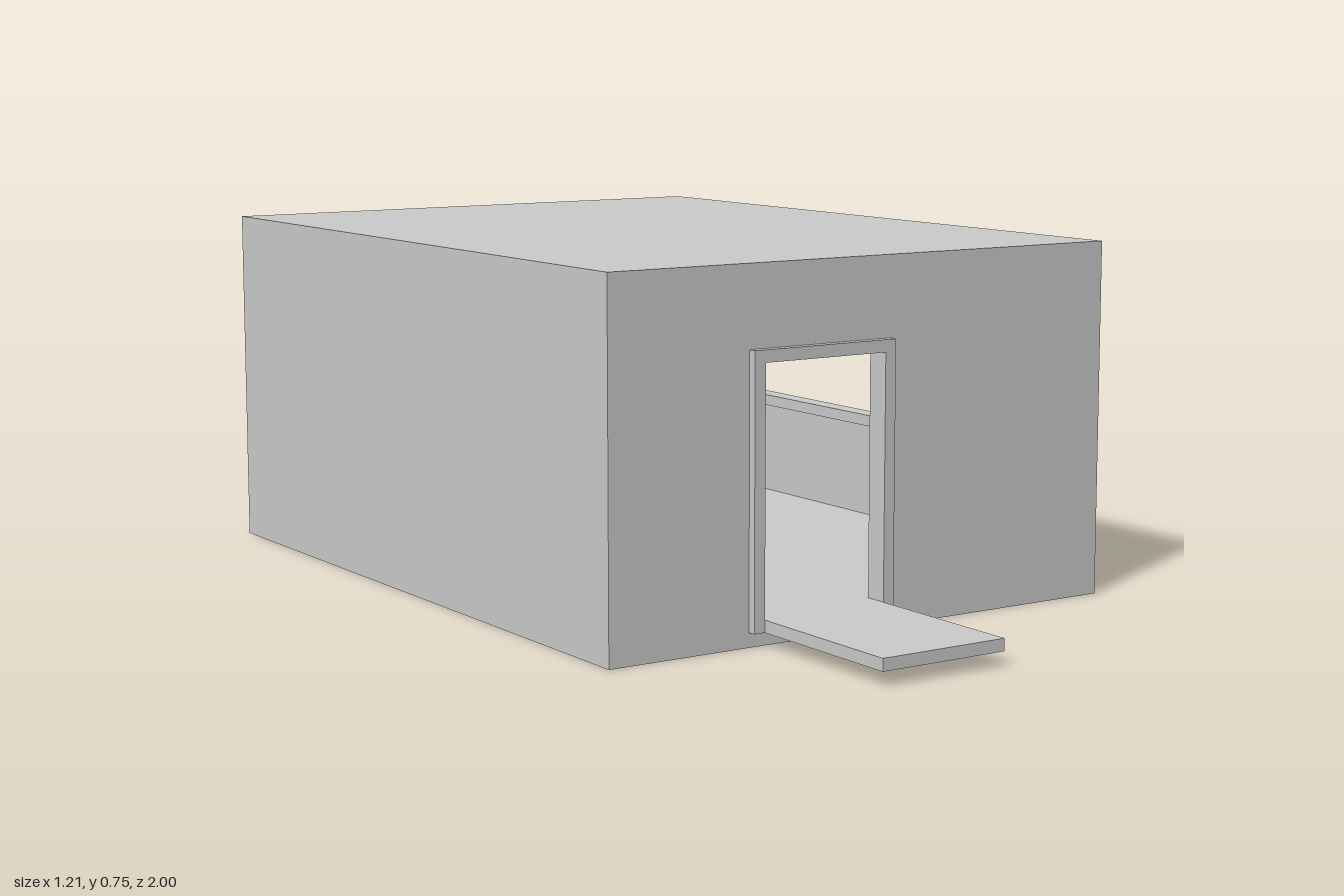
import * as THREE from 'three';

const material = new THREE.MeshStandardMaterial({ color: 0xcccccc, flatShading: true });
const X0 = -0.605, X1 = 0.6, Z0 = -0.99, Z1 = 0.61, H = 0.745;
const WALL = 0.03, FLOOR = 0.055, FRAME = 0.025;

// Box given by its minimum and maximum corners
function slab(name, [ax, ay, az], [bx, by, bz]) {
  const mesh = new THREE.Mesh(new THREE.BoxGeometry(bx - ax, by - ay, bz - az), material);
  mesh.position.set((ax + bx) / 2, (ay + by) / 2, (az + bz) / 2);
  mesh.name = name;
  return mesh;
}

function trace(path, x0, y0, x1, y1) {
  path.moveTo(x0, y0);
  path.lineTo(x1, y0);
  path.lineTo(x1, y1);
  path.lineTo(x0, y1);
  path.closePath();
  return path;
}

// Upright rectangular panel with one rectangular opening
function panel(name, outer, hole, depth) {
  const shape = trace(new THREE.Shape(), ...outer);
  shape.holes.push(trace(new THREE.Path(), ...hole));
  const mesh = new THREE.Mesh(new THREE.ExtrudeGeometry(shape, { depth, bevelEnabled: false }), material);
  mesh.name = name;
  return mesh;
}

// Frame hugging an opening
function frame(name, [x0, y0, x1, y1], depth) {
  return panel(name, [x0 - FRAME, y0 - FRAME, x1 + FRAME, y1 + FRAME], [x0, y0, x1, y1], depth);
}

// Wall opening hidden just behind the frame's inner edge
const widen = ([x0, y0, x1, y1], d = 0.01) => [x0 - d, y0 - d, x1 + d, y1 + d];

export function createModel() {
  const model = new THREE.Group();
  const add = (mesh, z = 0) => {
    mesh.position.z += z;
    model.add(mesh);
  };

  // Floor, roof and closed side wall
  add(slab('floor', [X0, 0, Z0], [X1, FLOOR, Z1]));
  add(slab('roof', [X0, H - WALL, Z0], [X1, H, Z1]));
  add(slab('closedSideWall', [X0, FLOOR, Z0], [X0 + WALL, H - WALL, Z1]));

  // Front wall with doorway
  const [dx0, dx1, dTop] = [-0.262, 0.025, 0.555];
  const [fx0, fx1, top] = [X0 + WALL, X1 - WALL, H - WALL];
  add(slab('frontWallRight', [fx0, FLOOR, Z1 - WALL], [dx0 - 0.01, top, Z1]));
  add(slab('frontWallLeft', [dx1 + 0.01, FLOOR, Z1 - WALL], [fx1, top, Z1]));
  add(slab('frontWallLintel', [dx0 - 0.01, dTop + 0.01, Z1 - WALL], [dx1 + 0.01, top, Z1]));

  // Door frame: two jambs and a head in one outline
  const doorShape = new THREE.Shape([
    [dx0 - FRAME, 0.03], [dx0, 0.03], [dx0, dTop], [dx1, dTop],
    [dx1, 0.03], [dx1 + FRAME, 0.03], [dx1 + FRAME, dTop + FRAME], [dx0 - FRAME, dTop + FRAME],
  ].map(([x, y]) => new THREE.Vector2(x, y)));
  const doorFrame = new THREE.Mesh(new THREE.ExtrudeGeometry(doorShape, { depth: 0.05, bevelEnabled: false }), material);
  doorFrame.name = 'doorFrame';
  add(doorFrame, 0.578);

  // Entrance step reaching out from the doorway
  add(slab('entranceStep', [dx0, 0.03, Z1], [dx1, FLOOR, 1]));

  // Back wall and window
  const back = [-0.35, 0.29, 0.34, 0.635];
  add(panel('backWall', [fx0, FLOOR, fx1, top], widen(back), WALL), Z0);
  add(frame('backWindowFrame', back, 0.045), -1);

  // Left side wall and long window, drawn along -z and turned to face +x
  const side = [-0.345, 0.29, 0.72, 0.635];
  const wall = panel('windowSideWall', [-Z1, FLOOR, -Z0, top], widen(side), WALL);
  wall.position.x = X1 - WALL;
  const sideFrame = frame('sideWindowFrame', side, 0.045);
  sideFrame.position.x = 0.605 - 0.045;
  for (const mesh of [wall, sideFrame]) {
    mesh.rotation.y = Math.PI / 2;
    add(mesh);
  }
  return model;
}
